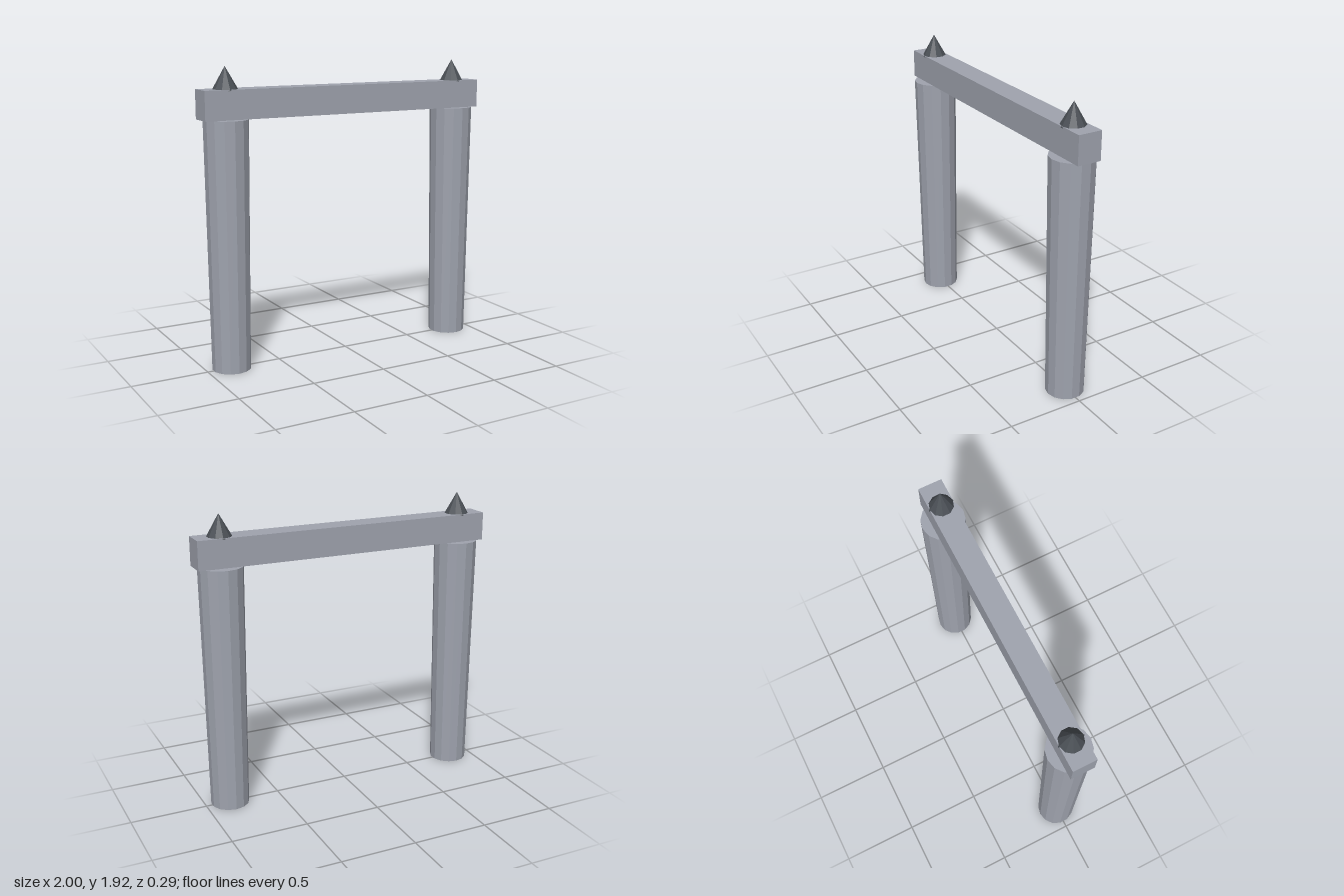
import * as THREE from 'three';

export function createModel() {
  const group = new THREE.Group();
  group.name = 'stoneGate';

  const stone = new THREE.MeshStandardMaterial({ color: 0x9fa3ae, flatShading: true });
  stone.name = 'grey stone';
  const iron = new THREE.MeshStandardMaterial({ color: 0x4a4f55, flatShading: true });
  iron.name = 'dark iron';

  const add = (name, geometry, material, x, y) => {
    const mesh = new THREE.Mesh(geometry, material);
    mesh.name = name;
    mesh.position.set(x, y, 0);
    group.add(mesh);
  };

  // Crossbeam resting on the pillars
  add('crossbeam', new THREE.BoxGeometry(2, 0.184, 0.157), stone, 0, 1.692);

  // Pillars widening upwards, each with a spike above it
  const pillar = new THREE.CylinderGeometry(0.143, 0.125, 1.6, 14);
  const spike = new THREE.ConeGeometry(0.083, 0.147, 10);
  for (const [side, s] of [['left', 1], ['right', -1]]) {
    add(side + 'Pillar', pillar, stone, s * 0.836, 0.8);
    add(side + 'Spike', spike, iron, s * 0.836, 1.8495);
  }

  return group;
}
